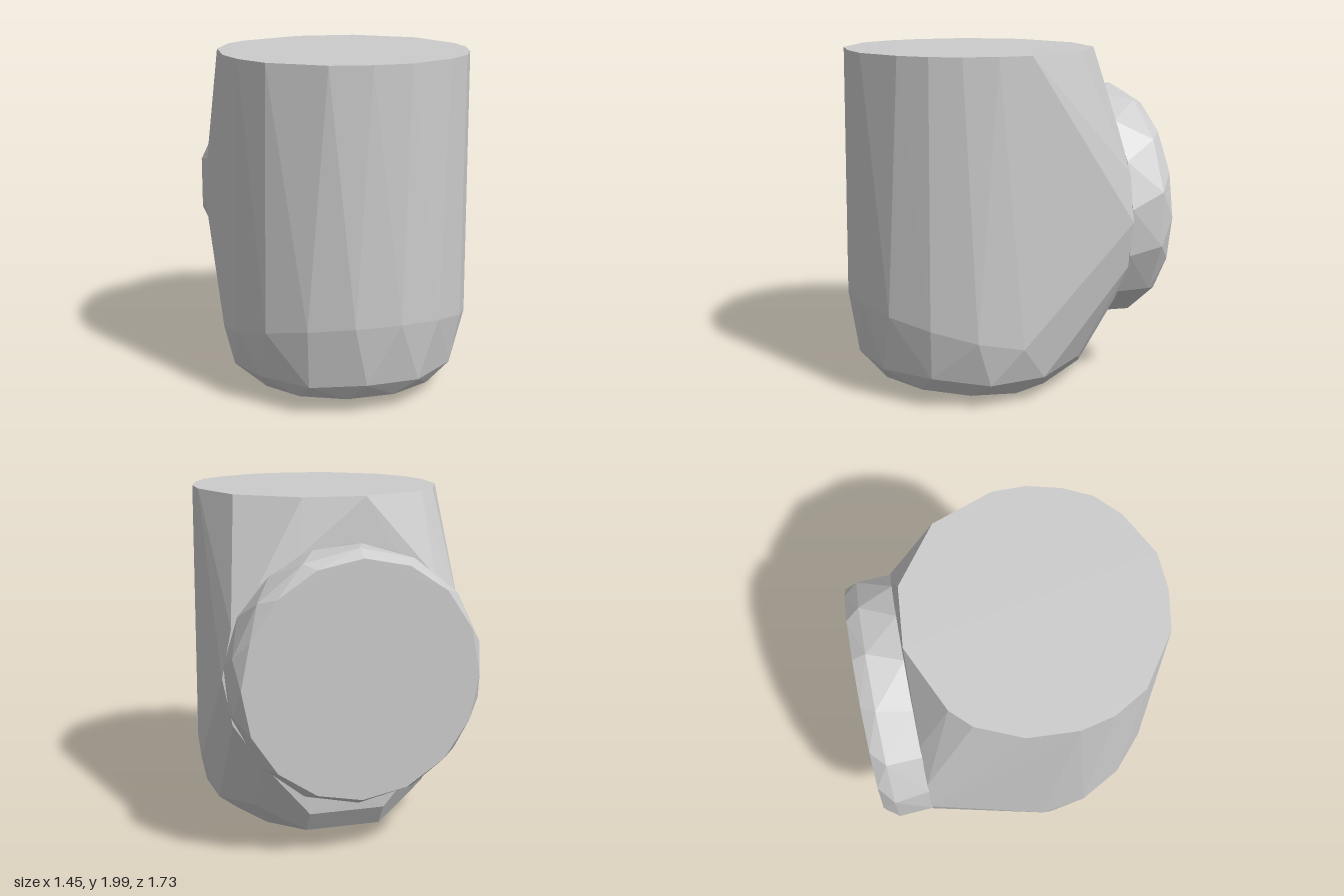
import * as THREE from 'three';
import { ConvexGeometry } from 'three/addons/geometries/ConvexGeometry.js';

const V = (x, y, z) => new THREE.Vector3(x, y, z);

// Evenly spaced points, handed to place(cos, sin, index)
function ring(count, place, start = 0) {
  return Array.from({ length: count }, (_, i) => {
    const a = start + (i / count) * Math.PI * 2;
    return place(Math.cos(a), Math.sin(a), i);
  });
}

function hull(name, points) {
  const material = new THREE.MeshStandardMaterial({ color: 0xcccccc, flatShading: true });
  const mesh = new THREE.Mesh(new ConvexGeometry(points), material);
  mesh.name = name;
  return mesh;
}

export function createModel() {
  const group = new THREE.Group();
  group.name = 'faceted jar with back disc';

  // Flat top outline, slightly irregular
  const top = [
    [-0.1, -0.58], [0.25, -0.55], [0.58, -0.31], [0.71, 0.04], [0.71, 0.23], [0.66, 0.42],
    [0.58, 0.58], [0.44, 0.71], [0.18, 0.84], [-0.04, 0.85], [-0.27, 0.81], [-0.56, 0.61],
    [-0.67, 0.42], [-0.715, 0.23], [-0.7, -0.05], [-0.59, -0.3], [-0.48, -0.41],
  ].map(([x, z]) => V(x, 2, z));

  // Widest line around the front half, highest at the front
  const belly = Array.from({ length: 10 }, (_, i) => {
    const a = -0.08 + (i / 9) * (Math.PI + 0.16);
    return V(0.725 * Math.cos(a), 0.37 + 0.2 * Math.max(0, Math.sin(a)), 0.14 + 0.73 * Math.sin(a));
  });

  // Rounded lower edge and the tilted underside
  const lower = ring(13, (c, s, i) => V(0.675 * c, 0.15 + 0.05 * Math.abs(s) + 0.015 * (i % 2), 0.12 + 0.7 * s), 0.2);
  const under = ring(12, (c, s) => {
    const z = 0.19 + 0.54 * s;
    return V(0.54 * c, 0.01 + Math.max(0, z + 0.25) * 0.092, z);
  }, 0.26);
  const heel = [-0.22, 0.22].flatMap((x) => [V(x, 0.07, -0.5), V(x, 0.2, -0.585)]);

  // Round flat seat at the back of the body
  const seat = ring(16, (c, s) => V(0.715 * c, 1.04 + 0.71 * s, -0.592));
  group.add(hull('body', [...top, ...belly, ...lower, ...under, ...heel, ...seat]));

  // Bevelled disc on the back
  const disc = [
    ...ring(16, (c, s) => V(0.71 * c, 1.04 + 0.71 * s, -0.59), 0.1),
    ...ring(14, (c, s) => V(0.715 * c, 1.04 + 0.715 * s, -0.79), 0.22),
    ...ring(16, (c, s) => V(0.67 * c, 1.04 + 0.67 * s, -0.868)),
  ];
  group.add(hull('backDisc', disc));

  return group;
}
